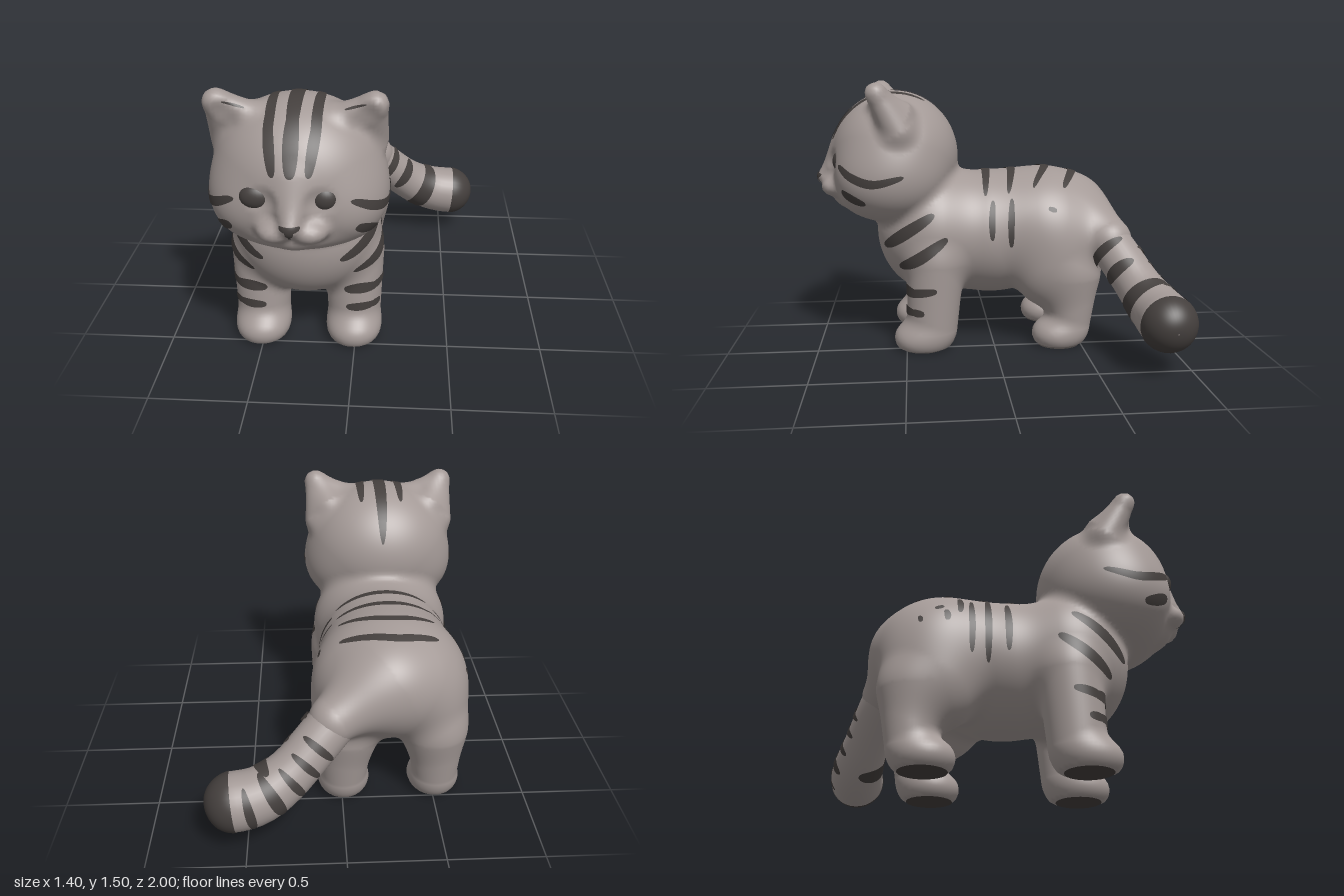
import * as THREE from 'three';
import { mergeVertices } from 'three/addons/utils/BufferGeometryUtils.js';

const MID = -0.26; // mirror plane of the animal; the tail swings out to +x

const fur = new THREE.MeshStandardMaterial({ color: 0xa49a97 });
fur.name = 'grey fur';
const dark = new THREE.MeshStandardMaterial({ color: 0x443f3d, side: THREE.DoubleSide });
dark.name = 'dark markings';

// ---- soft shapes, blended into one smooth skin ----
const blend = (a, b, k) => {
  const h = Math.max(k - Math.abs(a - b), 0) / k;
  return Math.min(a, b) - h * h * k / 4;
};
const carve = (a, b, k) => -blend(-a, b, k);

function ball(x, y, z, cx, cy, cz, rx, ry, rz) {
  const a = (x - cx) / rx, b = (y - cy) / ry, c = (z - cz) / rz;
  const k0 = Math.hypot(a, b, c), k1 = Math.hypot(a / rx, b / ry, c / rz);
  return k1 < 1e-6 ? -Math.min(rx, ry, rz) : k0 * (k0 - 1) / k1;
}

function limb(x, y, z, ax, ay, az, ra, bx, by, bz, rb) {
  const dx = bx - ax, dy = by - ay, dz = bz - az;
  let t = ((x - ax) * dx + (y - ay) * dy + (z - az) * dz) / (dx * dx + dy * dy + dz * dz);
  t = Math.min(1, Math.max(0, t));
  return Math.hypot(x - ax - t * dx, y - ay - t * dy, z - az - t * dz) - ra - t * (rb - ra);
}

function field(X, y, z) {
  const x = Math.abs(X - MID);
  // torso: chest, belly, rump
  let d = ball(x, y, z, 0, 0.655, 0.33, 0.39, 0.375, 0.33);
  d = blend(d, ball(x, y, z, 0, 0.63, 0, 0.365, 0.362, 0.47), 0.08);
  d = blend(d, ball(x, y, z, 0, 0.68, -0.3, 0.4, 0.33, 0.385), 0.08);
  // tail root
  d = blend(d, limb(X, y, z, -0.22, 0.75, -0.5, 0.17, 0.05, 0.62, -0.645, 0.128), 0.12);
  // front legs and paws
  let leg = limb(x, y, z, 0.25, 0.5, 0.33, 0.16, 0.25, 0.12, 0.355, 0.143);
  leg = blend(leg, ball(x, y, z, 0.25, 0.065, 0.415, 0.148, 0.11, 0.155), 0.05);
  d = blend(d, leg, 0.06);
  // hips, hind legs and paws
  let hind = ball(x, y, z, 0.22, 0.52, -0.34, 0.2, 0.31, 0.26);
  hind = blend(hind, limb(x, y, z, 0.245, 0.4, -0.45, 0.155, 0.25, 0.12, -0.435, 0.122), 0.08);
  hind = blend(hind, ball(x, y, z, 0.25, 0.065, -0.37, 0.142, 0.105, 0.15), 0.05);
  d = blend(d, hind, 0.07);
  // skull, cheeks and jaw
  let head = ball(x, y, z, 0, 1.08, 0.55, 0.415, 0.37, 0.36);
  head = blend(head, ball(x, y, z, 0.19, 0.965, 0.585, 0.24, 0.228, 0.28), 0.08);
  head = blend(head, ball(x, y, z, 0, 0.865, 0.67, 0.26, 0.13, 0.205), 0.06);
  // nose bridge, muzzle pads, chin
  head = blend(head, limb(x, y, z, 0, 1.12, 0.82, 0.085, 0, 0.965, 0.945, 0.05), 0.07);
  head = blend(head, ball(x, y, z, 0.08, 0.915, 0.885, 0.085, 0.058, 0.082), 0.045);
  head = blend(head, ball(x, y, z, 0, 0.85, 0.84, 0.085, 0.05, 0.06), 0.05);
  // eye sockets
  head = carve(head, ball(x, y, z, 0.155, 1.065, 0.93, 0.08, 0.07, 0.052), 0.03);
  // broad pointed ears, slightly cupped in front
  let ear = limb(x, y, z, 0.2, 1.36, 0.61, 0.07, 0.362, 1.446, 0.64, 0.045);
  ear = blend(ear, limb(x, y, z, 0.345, 1.24, 0.53, 0.086, 0.378, 1.44, 0.64, 0.045), 0.05);
  ear = blend(ear, limb(x, y, z, 0.29, 1.32, 0.54, 0.1, 0.355, 1.43, 0.63, 0.045), 0.05);
  ear = carve(ear, ball(x, y, z, 0.325, 1.385, 0.735, 0.075, 0.09, 0.06), 0.03);
  head = blend(head, ear, 0.05);
  d = blend(d, head, 0.05);
  return Math.max(d, 0.004 - y); // flat feet
}

function slope(x, y, z) {
  const e = 0.002;
  return new THREE.Vector3(
    field(x + e, y, z) - field(x - e, y, z),
    field(x, y + e, z) - field(x, y - e, z),
    field(x, y, z + e) - field(x, y, z - e)).normalize();
}

function makeGeometry(pos, nor, idx) {
  const g = new THREE.BufferGeometry();
  g.setAttribute('position', new THREE.Float32BufferAttribute(pos, 3));
  if (nor) g.setAttribute('normal', new THREE.Float32BufferAttribute(nor, 3));
  g.setIndex(idx);
  return g;
}

// Skin over the blended shapes: one vertex per crossed cell, one quad per crossed edge
function skin() {
  const h = 0.02, lo = [-0.77, -0.06, -0.86], n = [54, 82, 96];
  const step = [n[1] * n[2], n[2], 1];
  const val = new Float32Array(n[0] * step[0]), id = new Int32Array(val.length);
  const each = (from, to, fn) => {
    for (let i = from; i < n[0] - to; i++) for (let j = from; j < n[1] - to; j++)
      for (let k = from; k < n[2] - to; k++) fn(i * step[0] + j * step[1] + k, i, j, k);
  };
  const pos = [], nor = [], idx = [];
  each(0, 0, (p, i, j, k) => { val[p] = field(lo[0] + i * h, lo[1] + j * h, lo[2] + k * h); });
  const corner = (p, c) => val[p + (c & 1 ? step[0] : 0) + (c & 2 ? step[1] : 0) + (c & 4 ? 1 : 0)];
  each(0, 1, (p, i, j, k) => {
    const s = [0, 0, 0];
    let count = 0;
    for (let c = 0; c < 8; c++) for (let a = 0; a < 3; a++) {
      if (c & (1 << a)) continue;
      const u = corner(p, c), v = corner(p, c | (1 << a));
      if ((u < 0) === (v < 0)) continue;
      for (let b = 0; b < 3; b++) s[b] += b === a ? u / (u - v) : (c >> b) & 1;
      count++;
    }
    if (!count) return;
    id[p] = pos.length / 3;
    const q = [i, j, k].map((m, b) => lo[b] + (m + s[b] / count) * h);
    pos.push(...q);
    nor.push(...slope(...q).toArray());
  });
  each(1, 1, (p) => {
    for (let a = 0; a < 3; a++) {
      const inside = val[p] < 0;
      if (inside === (val[p + step[a]] < 0)) continue;
      const sb = step[(a + 1) % 3], sc = step[(a + 2) % 3];
      const A = id[p - sb - sc], B = id[p - sc], C = id[p], D = id[p - sb];
      if (inside) idx.push(A, B, C, A, C, D);
      else idx.push(A, C, B, A, D, C);
    }
  });
  return makeGeometry(pos, nor, idx);
}

// Stripe drawn flat in a side, front or top plane, then laid onto the skin
const planes = {
  front: (u, v) => [[u, v, 2], [0, 0, -1]],
  left: (u, v) => [[2, v, u], [-1, 0, 0]],
  right: (u, v) => [[-2, v, u], [1, 0, 0]],
  top: (u, v) => [[u, 3, v], [0, -1, 0]],
};
const taper = (t) => Math.pow(Math.max(0.01, Math.sin(Math.PI * t)), 0.4);
function drop(plane, u, v) {
  const [o, d] = planes[plane](u, v);
  for (let s = 0, t = 0; s < 150 && t < 4; s++) {
    const q = o.map((c, i) => c + d[i] * t), f = field(...q);
    if (f < 0.0008) return new THREE.Vector3(...q);
    t += f * 0.7;
  }
  return null;
}
function stripe(plane, pts, w) {
  const path = new THREE.SplineCurve(pts.map((p) => new THREE.Vector2(...p)));
  const rows = 24, cols = 4, P = [], N = [], idx = [];
  for (let i = 0; i <= rows; i++) {
    const t = i / rows, c = path.getPoint(t), d = path.getTangent(t);
    for (let j = 0; j <= cols; j++) {
      const s = w * taper(t) * (j / cols * 2 - 1);
      const hit = drop(plane, c.x - d.y * s, c.y + d.x * s);
      const g = hit ? slope(hit.x, hit.y, hit.z) : new THREE.Vector3();
      P.push(hit && hit.addScaledVector(g, 0.004));
      N.push(g);
    }
  }
  const tri = (a, b, c) => {
    if (!P[a] || !P[b] || !P[c]) return;
    const face = P[b].clone().sub(P[a]).cross(P[c].clone().sub(P[a]));
    if (face.dot(N[a]) > 0) idx.push(a, b, c); else idx.push(a, c, b);
  };
  for (let i = 0; i < rows; i++) for (let j = 0; j < cols; j++) {
    const a = i * (cols + 1) + j, b = a + cols + 1;
    tri(a, b, a + 1);
    tri(b, b + 1, a + 1);
  }
  return makeGeometry(P.flatMap((p) => p ? p.toArray() : [0, 0.5, 0]), N.flatMap((v) => v.toArray()), idx);
}

// Tail: rings along a curve, swelling to a round tip; bands thin out towards their ends
const tailPath = new THREE.CatmullRomCurve3([
  [-0.2, 0.78, -0.5], [0, 0.655, -0.61], [0.1, 0.56, -0.675], [0.3, 0.375, -0.785], [0.45, 0.3, -0.835], [0.7, 0.27, -0.855],
].map((p) => new THREE.Vector3(...p)));
function tailPiece(t0, t1, a0, a1, lift, isBand) {
  const rows = 28, cols = 32, pos = [], idx = [], len = tailPath.getLength();
  for (let i = 0; i <= rows; i++) for (let j = 0; j <= cols; j++) {
    const a = a0 + (a1 - a0) * j / cols, e = Math.sin(i / rows * Math.PI / 2);
    const t = t0 + (t1 - t0) * (isBand ? 0.5 + (e - 0.5) * taper(j / cols) : e);
    const c = tailPath.getPointAt(t), T = tailPath.getTangentAt(t);
    const side = new THREE.Vector3(-T.z, 0, T.x).normalize(), up = side.clone().cross(T);
    const full = 0.122 + 0.028 * THREE.MathUtils.smoothstep(t, 0.5, 0.87);
    const gap = Math.max(0, 1 - (1 - t) * len / full);
    const r = full * Math.sqrt(Math.max(0, 1 - gap * gap)) + lift;
    pos.push(...c.addScaledVector(side, r * Math.cos(a)).addScaledVector(up, r * Math.sin(a)).toArray());
  }
  for (let i = 0; i < rows; i++) for (let j = 0; j < cols; j++) {
    const a = i * (cols + 1) + j, b = a + cols + 1;
    idx.push(a, b, a + 1, b, b + 1, a + 1);
  }
  const g = mergeVertices(makeGeometry(pos, null, idx), 1e-5);
  g.computeVertexNormals();
  return g;
}

export function createModel() {
  const cat = new THREE.Group();
  cat.name = 'kitten';
  const add = (name, geometry, material) => {
    const m = new THREE.Mesh(geometry, material);
    m.name = name;
    cat.add(m);
    return m;
  };
  add('bodyAndHead', skin(), fur);

  // tail with front and back bands and a dark tip
  add('tail', tailPiece(0, 1, 0, Math.PI * 2, 0, false), fur);
  add('tailTip', tailPiece(0.875, 1, 0, Math.PI * 2, 0.003, false), dark);
  [[0.335, 0.39, -1, 1.3, 0.012], [0.455, 0.52, -0.7, 1.2, 0.005], [0.625, 0.72, -1.7, 2, 0.004],
    [0.41, 0.445, 1.8, 3.5, 0.007], [0.5, 0.535, 1.9, 3.6, 0.004], [0.59, 0.625, 2, 3.7, 0.004],
    [0.68, 0.73, 1.7, 3.8, 0.004], [0.79, 0.825, 2.1, 3.8, 0.004]]
    .forEach((band) => add('tailBand', tailPiece(...band, true), dark));

  // eyes
  for (const [x, r] of [[-0.168, 0.074], [0.145, 0.064]]) {
    const eye = add('eye', new THREE.SphereGeometry(1, 24, 16), dark);
    eye.scale.set(r, 0.061, 0.045);
    eye.position.set(MID + x, 1.065, 0.85);
  }
  // soles
  for (const s of [-1, 1]) for (const z of [0.405, -0.375]) {
    const sole = add('sole', new THREE.CircleGeometry(1, 32), dark);
    sole.rotation.x = Math.PI / 2;
    sole.scale.set(0.112, 0.12, 1);
    sole.position.set(MID + s * 0.25, 0, z);
  }
  // nose and mouth
  add('nose', stripe('front', [[MID - 0.045, 0.974], [MID, 0.97], [MID + 0.045, 0.974]], 0.015), dark);
  add('noseTip', stripe('front', [[MID, 0.975], [MID, 0.932]], 0.018), dark);
  add('mouthLine', stripe('front', [[MID, 0.945], [MID, 0.895]], 0.006), dark);

  // forehead and crown
  add('crownStripe', stripe('top', [[MID, 0.87], [MID, 0.55], [MID, 0.21]], 0.034), dark);
  add('foreheadStripe', stripe('front', [[MID, 1.43], [MID, 1.31], [MID, 1.18]], 0.036), dark);
  for (const s of [-1, 1]) {
    const f = (pts) => pts.map(([u, v]) => [MID + s * u, v]);
    add('crownStripe', stripe('top', f([[0.1, 0.82], [0.108, 0.65], [0.11, 0.38]]), 0.024), dark);
    add('foreheadStripe', stripe('front', f([[0.115, 1.41], [0.1, 1.31], [0.08, 1.18]]), 0.026), dark);
    add('earHair', stripe('front', f([[0.23, 1.42], [0.33, 1.455]]), 0.005), dark);
    add('cheekSpot', stripe('front', f([[0.375, 0.855], [0.335, 0.885], [0.29, 0.915]]), 0.03), dark);
    add('legStripe', stripe('front', f([[0.38, 0.345], [0.29, 0.352], [0.205, 0.345]]), 0.032), dark);
    add('legStripe', stripe('front', f([[0.37, 0.237], [0.29, 0.237], [0.215, 0.235]]), 0.025), dark);
  }

  // markings shared by both sides
  for (const side of ['left', 'right']) {
    add('cheekStripe', stripe(side, [[0.85, 1.055], [0.78, 1], [0.66, 0.968], [0.5, 1.005]], 0.024), dark);
    add('shoulderStripe', stripe(side, [[0.61, 0.59], [0.5, 0.68], [0.34, 0.79]], 0.032), dark);
    add('shoulderStripe', stripe(side, [[0.53, 0.48], [0.42, 0.55], [0.27, 0.66]], 0.032), dark);
    add('legStripe', stripe(side, [[0.47, 0.345], [0.42, 0.355], [0.33, 0.37]], 0.024), dark);
    add('legStripe', stripe(side, [[0.47, 0.237], [0.44, 0.237], [0.4, 0.237]], 0.022), dark);
    add('flankSpot', stripe(side, [[-0.29, 0.815], [-0.335, 0.8]], 0.013), dark);
  }
  // flank stripes, more of them on the right
  [['left', 0.02, 0.85, 0.64, 0.018], ['left', -0.085, 0.86, 0.6, 0.018], ['right', 0.03, 0.88, 0.58, 0.018],
    ['right', -0.07, 0.93, 0.52, 0.018], ['right', -0.15, 0.88, 0.56, 0.016], ['right', -0.21, 0.9, 0.78, 0.016],
    ['right', -0.27, 0.79, 0.72, 0.016], ['right', -0.4, 0.75, 0.71, 0.012]]
    .forEach(([side, z, y0, y1, w]) => add('flankStripe', stripe(side, [[z - 0.01, y0], [z, (y0 + y1) / 2], [z, y1]], w), dark));

  // bars across the back
  [[-0.42, -0.48, -0.39], [-0.27, -0.32, -0.22], [-0.09, -0.12, -0.08], [0.05, 0.03, 0.05]].forEach(([a, b, c]) =>
    add('backStripe', stripe('top', [[-0.49, a], [-0.37, (a + 2 * b) / 3], [MID, b], [-0.13, (c + 2 * b) / 3], [0.01, c]], 0.024), dark));
  return cat;
}
